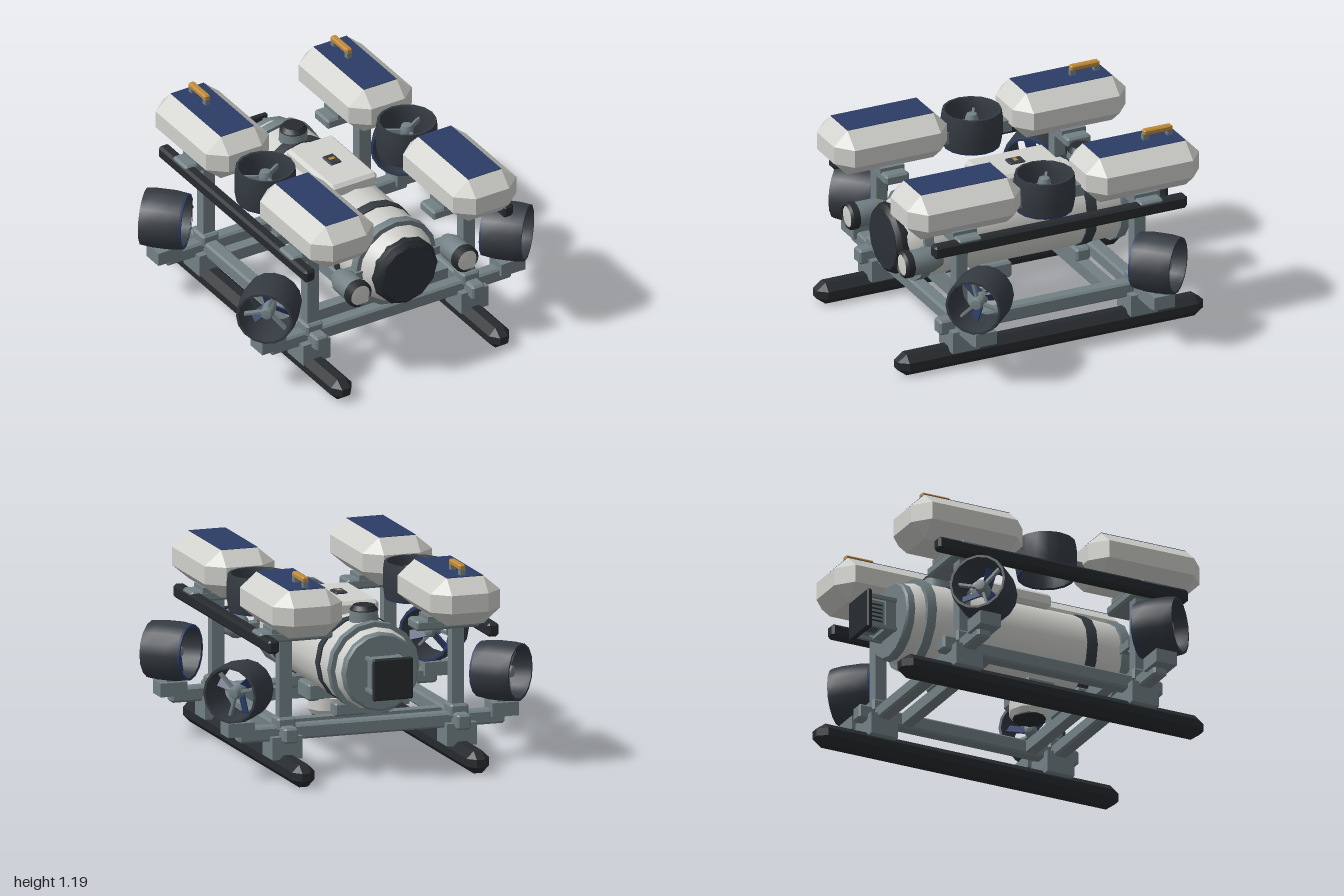
import * as THREE from 'three';
import { toCreasedNormals } from 'three/addons/utils/BufferGeometryUtils.js';
import { ConvexGeometry } from 'three/addons/geometries/ConvexGeometry.js';

function mat(name, color) {
  const m = new THREE.MeshStandardMaterial({ color });
  m.name = name;
  return m;
}

export function createModel() {
  const root = new THREE.Group();
  root.name = 'underwaterVehicle';
  const shell = mat('paleShell', 0xd0d1cc);
  const metal = mat('frameGrey', 0x728084);
  const dark = mat('darkCharcoal', 0x343a41);
  const rubber = mat('blackRubber', 0x262a2e);
  const blue = mat('navyBlue', 0x2b3c66);
  const orange = mat('orange', 0xc08a3a);
  const glass = mat('darkGlass', 0x2b3038);

  function add(name, geo, material, x = 0, y = 0, z = 0, parent = root) {
    const m = new THREE.Mesh(geo, material);
    m.name = name;
    m.position.set(x, y, z);
    parent.add(m);
    return m;
  }
  const box = (w, h, d) => new THREE.BoxGeometry(w, h, d);

  // Box with every edge and corner cut off
  function chamferBox(w, h, d, cx = 0.012, cy = cx, cz = cx) {
    const pts = [], a = w / 2, b = h / 2, c = d / 2;
    for (const i of [-1, 1]) for (const j of [-1, 1]) for (const k of [-1, 1]) {
      pts.push(
        new THREE.Vector3(i * a, j * (b - cy), k * (c - cz)),
        new THREE.Vector3(i * (a - cx), j * b, k * (c - cz)),
        new THREE.Vector3(i * (a - cx), j * (b - cy), k * c));
    }
    return new ConvexGeometry(pts);
  }

  // Turned part about y; profile runs upward on the outside
  function turned(profile, sides = 16) {
    const g = new THREE.LatheGeometry(profile.map(p => new THREE.Vector2(p[0], p[1])), sides);
    return toCreasedNormals(g, 0.55);
  }
  const turnedZ = (profile, sides) => turned(profile, sides).rotateX(Math.PI / 2);
  const band = (r0, r1, a, b) => [[r0, a], [r1, a], [r1, b], [r0, b]];

  // Pressure hull with bands, front window and rear cap
  const hull = new THREE.Group();
  hull.name = 'pressureHull';
  hull.position.y = 0.593;
  root.add(hull);
  add('hullShell', turnedZ([[0, -0.71], [0.225, -0.71], [0.25, -0.6], [0.255, -0.42],
    [0.255, 0.42], [0.25, 0.62], [0.205, 0.725], [0, 0.725]]), shell, 0, 0, 0, hull);
  for (const s of [-1, 1]) {
    add('hullDarkBand', turnedZ(band(0.24, 0.262, s * 0.405 - 0.032, s * 0.405 + 0.032)), dark, 0, 0, 0, hull);
    add('hullClamp', turnedZ(band(0.22, 0.268, s * 0.617 - 0.028, s * 0.617 + 0.028)), metal, 0, 0, 0, hull);
    add('lampArm', box(0.14, 0.05, 0.08), metal, s * 0.29, 0, 0.62, hull);
    add('lampBody', turnedZ([[0, 0.6], [0.05, 0.6], [0.074, 0.66], [0.074, 0.8], [0, 0.8]]), metal, s * 0.355, 0, 0, hull);
    add('lampRim', turnedZ([[0.06, 0.79], [0.08, 0.79], [0.08, 0.83], [0.066, 0.845], [0.06, 0.83]]), rubber, s * 0.355, 0, 0, hull);
    add('lampLens', turnedZ([[0.066, 0.79], [0.066, 0.835], [0, 0.842]]), shell, s * 0.355, 0, 0, hull);
  }
  add('windowRim', turnedZ([[0.2, 0.7], [0.208, 0.72], [0.205, 0.76], [0.18, 0.785], [0.16, 0.78]], 12), rubber, 0, 0, 0, hull);
  add('frontWindow', turnedZ([[0.178, 0.75], [0.175, 0.788], [0, 0.79]], 12), glass, 0, 0, 0, hull);
  add('rearCap', turnedZ([[0, -0.757], [0.215, -0.757], [0.226, -0.745], [0.226, -0.7], [0, -0.7]]), metal, 0, 0, 0, hull);

  // Rear connector: slotted box, corner rods and end plate
  add('connectorBox', box(0.14, 0.15, 0.11), metal, 0, 0, -0.87, hull);
  add('connectorNeck', box(0.17, 0.19, 0.07), metal, 0, 0, -0.785, hull);
  add('connectorPlate', chamferBox(0.24, 0.24, 0.03, 0.008), rubber, 0, 0, -0.938, hull);
  for (const sx of [-1, 1]) for (const sy of [-1, 1])
    add('connectorRod', box(0.02, 0.02, 0.18), metal, sx * 0.09, sy * 0.09, -0.845, hull);
  for (let i = -2; i <= 2; i++) {
    add('sideSlot', box(0.146, 0.008, 0.07), rubber, 0, i * 0.025, -0.87, hull);
    add('topSlot', box(0.07, 0.156, 0.006), rubber, 0, 0, -0.87 + i * 0.014, hull);
  }

  // Top hatch, latch and beacon
  add('topHatch', chamferBox(0.31, 0.09, 0.5, 0.02), shell, 0, 0.862, -0.045);
  add('hatchLatch', chamferBox(0.075, 0.016, 0.1, 0.007), dark, 0, 0.912, -0.045);
  add('latchMark', box(0.036, 0.006, 0.022), orange, 0, 0.92, -0.045);
  add('beaconCollar', new THREE.CylinderGeometry(0.08, 0.085, 0.08, 16), metal, 0, 0.855, -0.46);
  add('beacon', turned([[0.08, 0.86], [0.08, 0.9], [0.06, 0.925], [0, 0.925]], 16), rubber, 0, 0, -0.46);

  // Downward sensor under the hull
  add('sensorMount', chamferBox(0.3, 0.1, 0.18), metal, 0, 0.315, 0.135);
  add('sensorHousing', new THREE.CylinderGeometry(0.12, 0.12, 0.07, 8), shell, 0, 0.24, 0.135);
  add('sensorCone', new THREE.CylinderGeometry(0.12, 0.1, 0.03, 8), shell, 0, 0.19, 0.135);
  add('sensorFace', new THREE.CylinderGeometry(0.095, 0.095, 0.009, 12), rubber, 0, 0.172, 0.135);

  // Ducted thruster about y, outer end at +y
  function thruster(name, r, len, x, y, z, dir) {
    const t = new THREE.Group(), h = len / 2;
    t.name = name;
    t.position.set(x, y, z);
    t.quaternion.setFromUnitVectors(new THREE.Vector3(0, 1, 0), dir.normalize());
    root.add(t);
    add('duct', turned([[r * 0.86, -h], [r * 0.94, -h], [r, -h * 0.4], [r, h * 0.5], [r * 0.96, h],
      [r * 0.88, h], [r * 0.83, h * 0.6], [r * 0.86, -h]]), dark, 0, 0, 0, t);
    add('ductLip', turned([[r * 0.85, -h - 0.006], [r * 0.93, -h - 0.006], [r * 0.95, -h + 0.006]]), blue, 0, 0, 0, t);
    add('hub', turned([[0, -0.08], [0.025, -0.07], [0.038, -0.03], [0.038, 0.05], [0.03, 0.075], [0, 0.08]], 12), metal, 0, 0, 0, t);
    for (let i = 0; i < 3; i++) {
      const a = i * Math.PI * 2 / 3 + Math.PI / 6;
      const arm = new THREE.Group();
      arm.name = 'thrusterArm';
      arm.rotation.y = a;
      t.add(arm);
      add('strut', box(r * 0.85, 0.03, 0.014), metal, r * 0.44, 0.03, 0, arm);
      const spoke = new THREE.Group();
      spoke.name = 'bladeSpoke';
      spoke.rotation.y = a + 0.5;
      t.add(spoke);
      add('blade', box(r * 0.65, 0.008, 0.06), blue, r * 0.48, -0.03, 0, spoke).rotation.x = 0.6;
    }
  }

  for (const s of [-1, 1]) {
    // Landing skids, long rails and vertical thrusters
    add('skid', chamferBox(0.135, 0.13, 1.92, 0.042, 0.042, 0.055), rubber, s * 0.525, 0.065, 0);
    add('lowerRail', chamferBox(0.085, 0.09, 1.4), metal, s * 0.52, 0.25, 0);
    add('upperRail', chamferBox(0.07, 0.08, 1.59, 0.015), rubber, s * 0.66, 0.795, 0);
    thruster('verticalThruster', 0.177, 0.21, s * 0.47, 0.94, 0, new THREE.Vector3(0, 1, 0));

    for (const e of [-1, 1]) {
      // Corner posts, feet and float carriers
      add('cornerPost', box(0.075, 0.53, 0.07), metal, s * 0.518, 0.53, e * 0.56);
      add('skidBracket', box(0.18, 0.13, 0.17), metal, s * 0.525, 0.17, e * 0.56);
      add('postFoot', chamferBox(0.11, 0.08, 0.12), metal, s * 0.52, 0.3, e * 0.56);
      add('floatCarrier', chamferBox(0.44, 0.06, 0.15), metal, s * 0.47, 0.815, e * 0.57);
      add('floatPad', box(0.3, 0.03, 0.15), metal, s * 0.47, 0.85, e * 0.57);
      add('ductBracket', box(0.1, 0.07, 0.07), metal, s * 0.47, 0.915, e * 0.195);

      // Buoyancy floats with blue top panels
      add('float', chamferBox(0.42, 0.275, 0.71, 0.1, 0.085, 0.085), shell, s * 0.475, 0.987, e * 0.562);
      add('floatPanel', box(0.22, 0.004, 0.54), blue, s * 0.475, 1.1255, e * 0.562);

      // Diagonal thrusters on mounting blocks
      add('thrusterMount', box(0.16, 0.08, 0.13), metal, s * 0.795, 0.29, e * 0.56);
      add('thrusterStem', box(0.07, 0.05, 0.07), metal, s * 0.79, 0.33, e * 0.56);
      thruster('diagonalThruster', 0.172, 0.24, s * 0.79, 0.503, e * 0.56, new THREE.Vector3(s, 0, e));
    }

    // Lifting handles on the rear floats
    add('handleBar', chamferBox(0.04, 0.034, 0.18, 0.008), orange, s * 0.472, 1.172, -0.708);
    for (const k of [-1, 1]) add('handlePost', box(0.03, 0.045, 0.035), metal, s * 0.472, 1.14, -0.708 + k * 0.075);
  }

  // Cross bars and hull saddles
  for (const e of [-1, 1]) {
    add('crossBar', chamferBox(1.6, 0.085, 0.085), metal, 0, 0.248, e * 0.56);
    add('saddleBar', box(1.04, 0.07, 0.07), metal, 0, 0.25, e * 0.395);
    add('hullSaddle', chamferBox(0.33, 0.08, 0.09), metal, 0, 0.318, e * 0.395);
  }
  return root;
}
